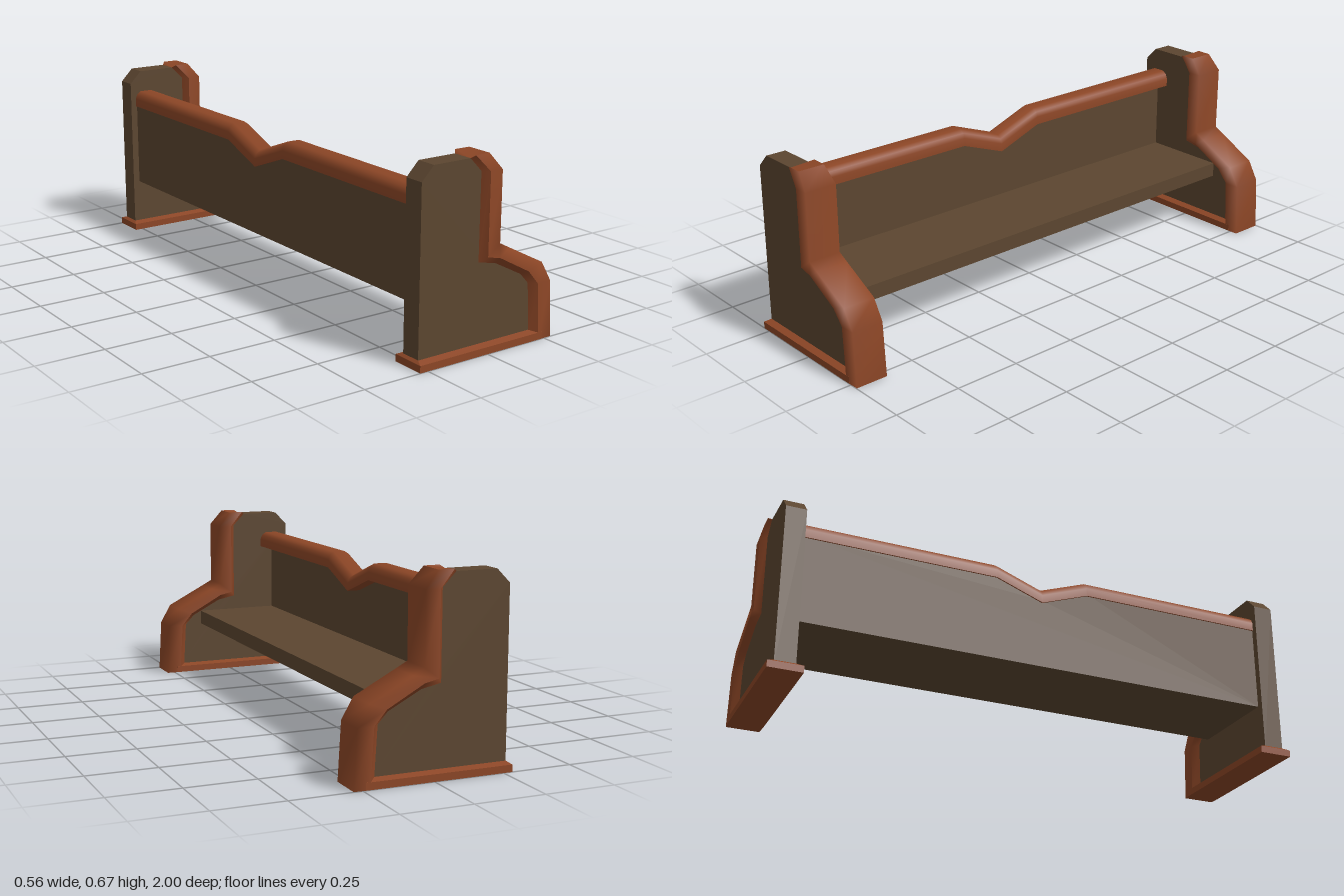
import * as THREE from 'three';

const darkWood = new THREE.MeshStandardMaterial({ name: 'darkWood', color: 0x5c4630 });
const redWood = new THREE.MeshStandardMaterial({ name: 'redWood', color: 0x8c4626 });

function addMesh(parent, name, geometry, material, x = 0, y = 0, z = 0) {
  const mesh = new THREE.Mesh(geometry, material);
  mesh.name = name;
  mesh.position.set(x, y, z);
  parent.add(mesh);
  return mesh;
}

// Extrude an outline in the xy plane, centred on z = 0
function slab(points, depth) {
  const shape = new THREE.Shape(points.map(([x, y]) => new THREE.Vector2(x, y)));
  return new THREE.ExtrudeGeometry(shape, { depth, bevelEnabled: false }).translate(0, 0, -depth / 2);
}

// Trim edges from the top of the post to the floor: inner, crease, outer, half width
const trimRings = [
  { inner: [-0.077, 0.663], crease: [-0.065, 0.673], outer: [-0.008, 0.673], half: 0.05 },
  { inner: [-0.03, 0.615], crease: [-0.011, 0.615], outer: [0.04, 0.615], half: 0.0615 },
  { inner: [-0.03, 0.312], crease: [-0.011, 0.332], outer: [0.04, 0.37], half: 0.0615 },
  { inner: [0.04, 0.298], crease: [0.04, 0.321], outer: [0.08, 0.349], half: 0.0615 },
  { inner: [0.155, 0.238], crease: [0.17, 0.25], outer: [0.228, 0.272], half: 0.0615 },
  { inner: [0.19, 0.2], crease: [0.213, 0.2], outer: [0.27, 0.2], half: 0.0615 },
  { inner: [0.202, 0], crease: [0.225, 0], outer: [0.281, 0], half: 0.0625 },
];
const PANEL_HALF = 0.0375;

// Join rows of points into a skin, with smooth normals inside the strip
function strip(positions, indices, rows) {
  const base = positions.length / 3;
  const n = rows[0].length;
  rows.forEach(row => row.forEach(p => positions.push(...p)));
  for (let r = 0; r < rows.length - 1; r++) {
    for (let s = 0; s < n - 1; s++) {
      const a = base + r * n + s;
      indices.push(a, a + n, a + 1, a + 1, a + n, a + n + 1);
    }
  }
}

function trimGeometry() {
  const positions = [];
  const indices = [];
  const sections = trimRings.map(({ inner, crease, outer, half }) => [
    [...inner, PANEL_HALF], [...crease, half], [...outer, half * 0.97],
    [...outer, -half * 0.97], [...crease, -half], [...inner, -PANEL_HALF],
  ]);
  // Chamfer, rounded face, chamfer: separate strips keep the crease sharp
  for (const [from, to] of [[0, 2], [1, 5], [4, 6]]) {
    strip(positions, indices, sections.map(s => s.slice(from, to)));
  }
  // End caps
  [sections[0], [...sections.at(-1)].reverse()].forEach(ring => {
    const base = positions.length / 3;
    ring.forEach(p => positions.push(...p));
    for (let i = 1; i < ring.length - 1; i++) indices.push(base, base + i, base + i + 1);
  });
  const geometry = new THREE.BufferGeometry();
  geometry.setAttribute('position', new THREE.Float32BufferAttribute(positions, 3));
  geometry.setIndex(indices);
  geometry.computeVertexNormals();
  return geometry;
}

// Foot bevel: a thin box whose top slopes in to the panel
function footBevel() {
  const geometry = new THREE.BoxGeometry(0.522, 0.008, 0.125).translate(-0.021, 0.029, 0);
  const p = geometry.attributes.position;
  for (let i = 0; i < p.count; i++) {
    if (p.getY(i) > 0.029) {
      p.setZ(i, Math.sign(p.getZ(i)) * PANEL_HALF);
      if (p.getX(i) < 0) p.setX(i, -0.271);
    }
  }
  geometry.computeVertexNormals();
  return geometry;
}

function makeEnd() {
  const end = new THREE.Group();
  const outline = [[-0.271, 0.01], [-0.271, 0.615], [-0.224, 0.663], [-0.077, 0.663],
    ...trimRings.slice(1, -1).map(r => r.crease), [0.224, 0.01]];
  addMesh(end, 'endPanel', slab(outline, PANEL_HALF * 2), darkWood);
  addMesh(end, 'endTrim', trimGeometry(), redWood);
  addMesh(end, 'foot', new THREE.BoxGeometry(0.522, 0.025, 0.125), redWood, -0.021, 0.0125);
  addMesh(end, 'footBevel', footBevel(), redWood);
  return end;
}

// Top rail with rounded shoulders, dipping to a V in the middle
function railGeometry() {
  const profile = [[-0.25, 0.52], [-0.25, 0.55], [-0.243, 0.568], [-0.226, 0.58],
    [-0.179, 0.58], [-0.162, 0.568], [-0.155, 0.55], [-0.155, 0.52]];
  const stations = [[-0.9, 0], [-0.18, 0], [0, -0.066], [0.18, 0], [0.9, 0]];
  const rows = stations.map(([z, dip]) => profile.map(([x, y]) => [x, y + dip, z]));
  const positions = [];
  const indices = [];
  // Stations run toward +z, so the profile is reversed to face outward
  strip(positions, indices, rows.map(r => [...r].reverse()).reverse());
  strip(positions, indices, rows.map(r => [r[0], r.at(-1)]).reverse());
  // Make every face point away from the rail's core
  const geometry = new THREE.BufferGeometry();
  const v = i => new THREE.Vector3().fromArray(positions, i * 3);
  for (let i = 0; i < indices.length; i += 3) {
    const [a, b, c] = indices.slice(i, i + 3).map(v);
    const normal = b.clone().sub(a).cross(c.clone().sub(a));
    const mid = a.clone().add(b).add(c).divideScalar(3);
    const dip = -0.066 * Math.max(0, 1 - Math.abs(mid.z) / 0.18);
    if (normal.dot(new THREE.Vector3(mid.x + 0.2025, mid.y - 0.54 - dip, 0)) < 0) {
      [indices[i + 1], indices[i + 2]] = [indices[i + 2], indices[i + 1]];
    }
  }
  geometry.setAttribute('position', new THREE.Float32BufferAttribute(positions, 3));
  geometry.setIndex(indices);
  geometry.computeVertexNormals();
  return geometry;
}

export function createModel() {
  const bench = new THREE.Group();
  bench.name = 'bench';

  // Two matching ends
  for (const [name, z] of [['frontEnd', 0.9375], ['backEnd', -0.9375]]) {
    const end = makeEnd();
    end.name = name;
    end.position.z = z;
    bench.add(end);
  }

  // Seat board
  addMesh(bench, 'seat', new THREE.BoxGeometry(0.33, 0.055, 1.8), darkWood, -0.043, 0.2275, 0);

  // Backrest, notched to follow the rail
  const back = slab([[-0.9, 0.2], [0.9, 0.2], [0.9, 0.53], [0.18, 0.53], [0, 0.464],
    [-0.18, 0.53], [-0.9, 0.53]], 0.04).rotateY(Math.PI / 2);
  addMesh(bench, 'backrest', back, darkWood, -0.225, 0, 0);
  addMesh(bench, 'topRail', railGeometry(), redWood);

  return bench;
}
